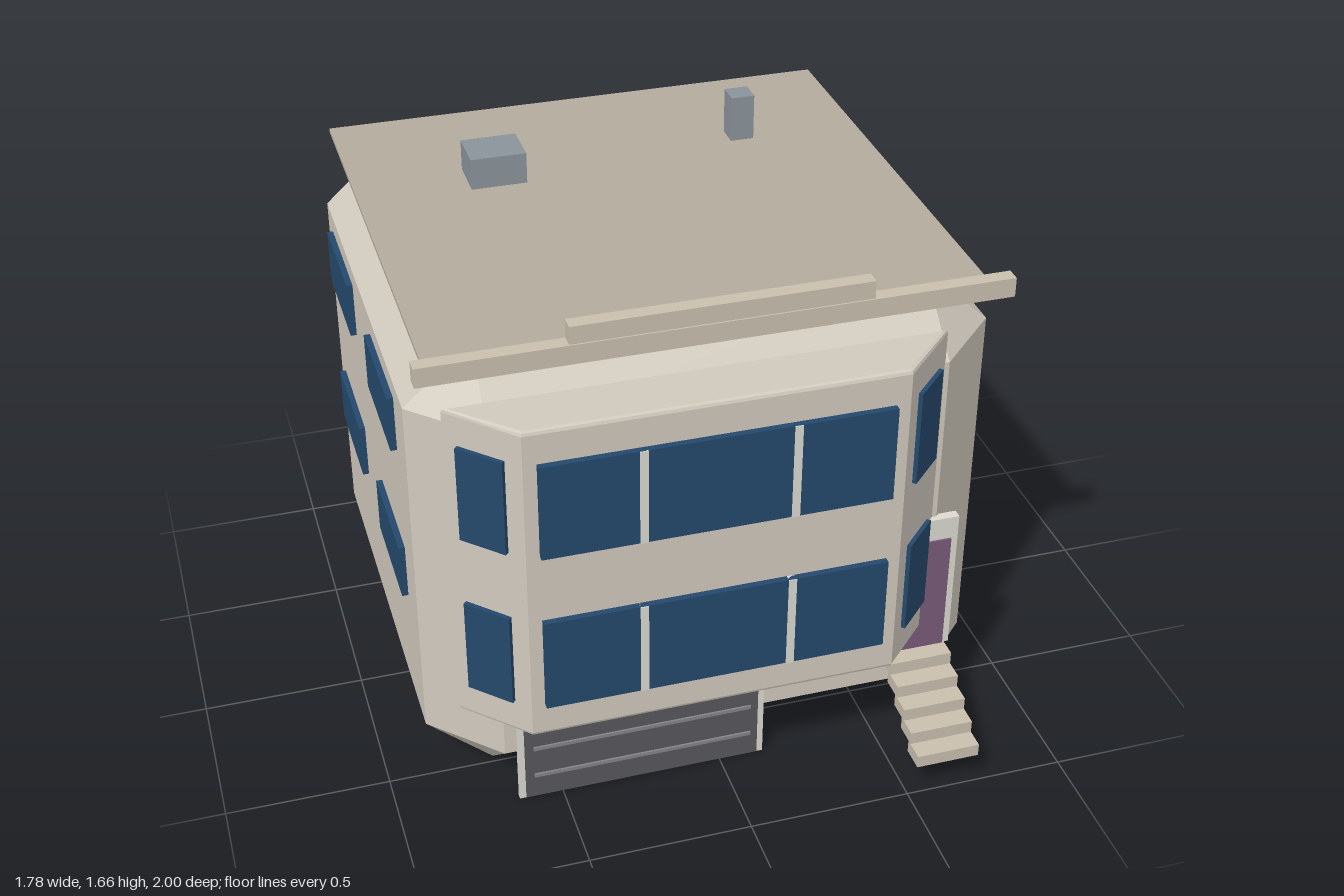
import * as THREE from 'three';
import { ConvexGeometry } from 'three/addons/geometries/ConvexGeometry.js';

const mat = (color) => new THREE.MeshStandardMaterial({ color });

export function createModel() {
  const house = new THREE.Group();
  house.name = 'house';

  const wall = mat(0xd0c9bd), roofMat = mat(0xb3ab9c), glass = mat(0x24486c);
  const trim = mat(0xdcdad0), metal = mat(0x8b939b), garage = mat(0x58575c);
  const rib = mat(0x85848a), purple = mat(0x785a78), stone = mat(0xc9bfae);

  const add = (name, geometry, material, parent = house) => {
    const mesh = new THREE.Mesh(geometry, material);
    mesh.name = name;
    parent.add(mesh);
    return mesh;
  };
  // box given by its extents on each axis
  const box = (name, material, [x0, x1], [y0, y1], [z0, z1], parent) => {
    const mesh = add(name, new THREE.BoxGeometry(x1 - x0, y1 - y0, z1 - z0), material, parent);
    mesh.position.set((x0 + x1) / 2, (y0 + y1) / 2, (z0 + z1) / 2);
    return mesh;
  };
  const group = (name) => {
    const g = new THREE.Group();
    g.name = name;
    house.add(g);
    return g;
  };

  // main body: a block with every edge chamfered
  const zMid = -0.1625, hx = 0.872, hz = 0.8375, cut = 0.2;
  const points = [];
  for (const sx of [-1, 1]) for (const sz of [-1, 1]) {
    const p = (x, y, z) => points.push(new THREE.Vector3(sx * x, y, zMid + sz * z));
    for (const y of [0, 1.5]) p(hx - cut, y, hz - cut);
    for (const y of [0.18, 1.32]) {
      p(hx, y, hz - cut);
      p(hx - cut, y, hz);
    }
  }
  add('body', new ConvexGeometry(points), wall);

  // flat roof, front parapet and rooftop units
  box('roof', roofMat, [-0.825, 0.82], [1.497, 1.51], [-0.95, 0.63]);
  box('parapet', stone, [-0.865, 0.86], [1.5, 1.56], [0.622, 0.667]);
  box('parapetCap', stone, [-0.44, 0.435], [1.563, 1.618], [0.622, 0.667]);
  box('roofUnit', metal, [-0.475, -0.3], [1.5, 1.61], [-0.54, -0.395]);
  box('chimney', metal, [0.395, 0.47], [1.5, 1.658], [-0.57, -0.495]);

  // bay with splayed ends and softened edges
  const bayShape = new THREE.Shape([
    [-0.8, -0.672], [-0.622, -0.852], [0.482, -0.852], [0.66, -0.672],
  ].map(([x, y]) => new THREE.Vector2(x, y)));
  const bevel = 0.012;
  const bayGeo = new THREE.ExtrudeGeometry(bayShape, {
    depth: 1.045 - 2 * bevel, bevelThickness: bevel, bevelSize: bevel,
    bevelOffset: -bevel, bevelSegments: 2,
  });
  bayGeo.rotateX(-Math.PI / 2).translate(0, 0.385 + bevel, 0);
  add('bay', bayGeo, wall);

  // bay windows on both floors: wide front pane, mullions, angled end panes
  const bayWindows = group('bayWindows');
  for (const [y0, y1] of [[0.497, 0.8], [1.022, 1.325]]) {
    box('frontWindow', glass, [-0.583, 0.44], [y0, y1], [0.842, 0.872], bayWindows);
    for (const x of [-0.292, 0.148])
      box('mullion', trim, [x - 0.012, x + 0.012], [y0, y1], [0.842, 0.875], bayWindows);
    for (const side of [-1, 1]) {
      const pane = add('endWindow', new THREE.BoxGeometry(0.15, y1 - y0, 0.024), glass, bayWindows);
      pane.position.set(-0.07 + side * 0.645, (y0 + y1) / 2, 0.76);
      pane.rotation.y = side * Math.PI / 4;
    }
  }

  // side windows
  const sideWindows = group('sideWindows');
  for (const side of [-1, 1])
    for (const z of [-0.532, 0.138])
      for (const y of [0.648, 1.173]) {
        const pane = add('sideWindow', new THREE.BoxGeometry(0.03, 0.177, 0.367), glass, sideWindows);
        pane.position.set(side * 0.876, y, z);
      }

  // garage door with frame and ribs
  const garageDoor = group('garageDoor');
  box('garageFrame', trim, [-0.635, 0.14], [0, 0.385], [0.67, 0.687], garageDoor);
  box('garagePanel', garage, [-0.615, 0.12], [0.003, 0.378], [0.68, 0.691], garageDoor);
  for (const y of [0.087, 0.192, 0.297])
    box('garageRib', rib, [-0.588, 0.096], [y - 0.006, y + 0.006], [0.685, 0.697], garageDoor);

  // entrance door and steps
  const entrance = group('entrance');
  box('doorFrame', trim, [0.522, 0.738], [0.305, 0.78], [0.665, 0.694], entrance);
  box('door', purple, [0.542, 0.716], [0.307, 0.705], [0.68, 0.7], entrance);
  for (let i = 0; i < 5; i++) {
    const y = 0.1 + i * 0.041, z = 1 - i * 0.0617;
    box('step', stone, [0.526, 0.724], [y, y + 0.041], [z - 0.078, z], entrance);
  }

  return house;
}
